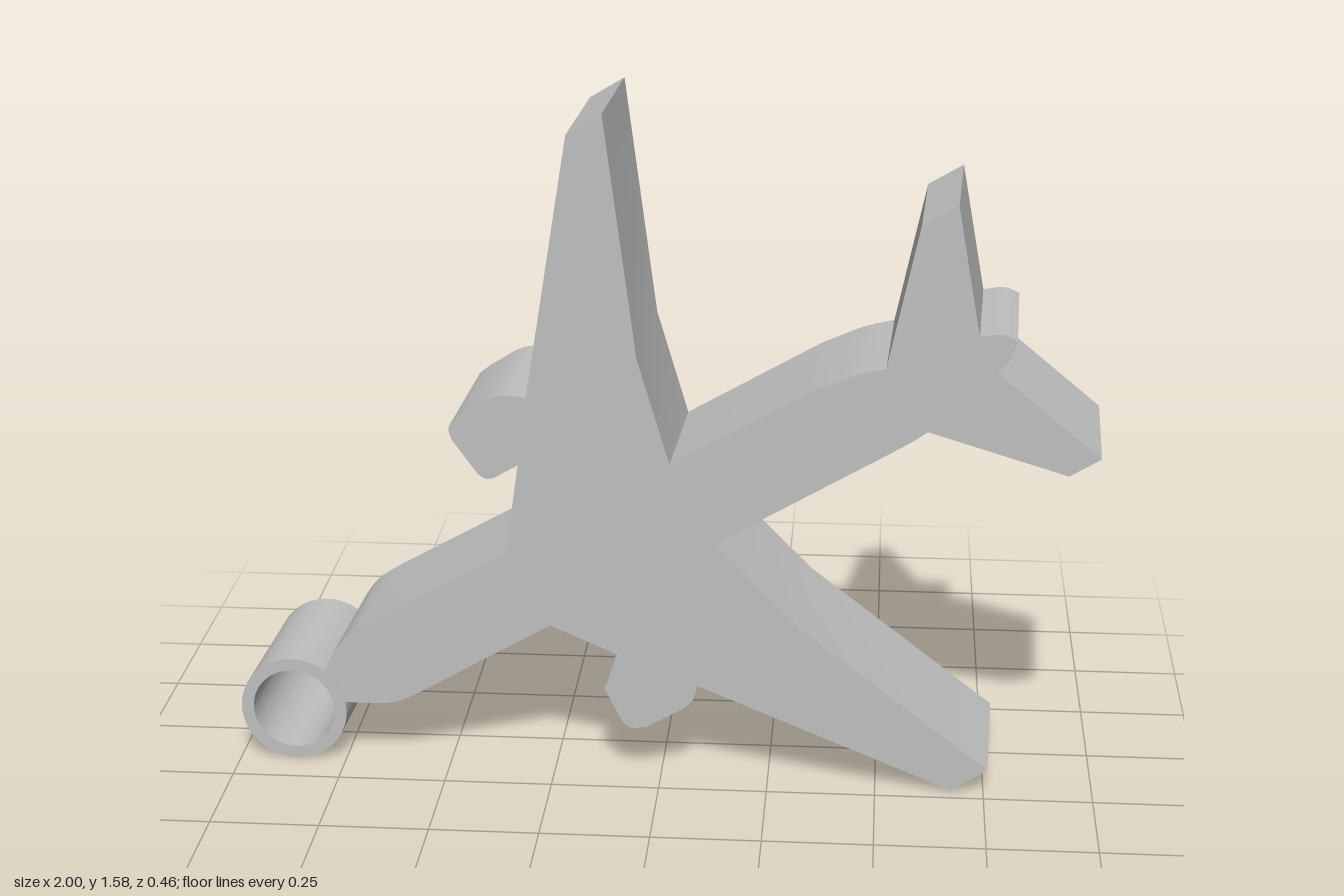
import * as THREE from 'three';
import { toCreasedNormals } from 'three/addons/utils/BufferGeometryUtils.js';

const DEPTH = 0.375;

// Outline runs: two numbers are a straight edge, longer runs are smooth curves.
const OUTLINE = [
  [-0.666, 0.15, -0.612, 0.158, -0.564, 0.182],                     // nose underside
  [-0.249, 0.369], [-0.04, 0.283], [-0.11, 0.235],                  // lower wing root
  [-0.121, 0.225, -0.12, 0.21], [-0.083, 0.139],                    // lower engine
  [-0.062, 0.121, -0.024, 0.125], [0.061, 0.176],
  [0.083, 0.198, 0.094, 0.235],
  [0.687, 0.002], [0.767, 0.059], [0.329, 0.39], [0.131, 0.588],    // lower wing
  [0.527, 0.824], [0.572, 0.852, 0.607, 0.877],                     // fuselage side
  [0.922, 0.786], [0.992, 0.829], [0.757, 1.021],                   // lower stabiliser
  [0.783, 1.053, 0.797, 1.096], [0.762, 1.109, 0.714, 1.102],       // tail cone
  [0.66, 1.396], [0.58, 1.348], [0.511, 1.021],                     // upper stabiliser
  [0.436, 1.0, 0.34, 0.957], [0.029, 0.775],                        // fuselage top
  [-0.045, 1.021], [-0.12, 1.578], [-0.2, 1.529], [-0.297, 0.92],   // upper wing
  [-0.345, 0.925, -0.382, 0.914], [-0.447, 0.872],                  // upper engine
  [-0.475, 0.845, -0.468, 0.813], [-0.41, 0.734],
  [-0.392, 0.723, -0.372, 0.727], [-0.318, 0.759],
  [-0.35, 0.54], [-0.676, 0.353],                                   // upper wing root
  [-0.73, 0.316, -0.767, 0.267, -0.783, 0.225],                     // nose top
  [-0.757, 0.199, -0.741, 0.15],                                    // seam against the ring
];

function extrude(shape, material, name, curveSegments) {
  const geo = new THREE.ExtrudeGeometry(shape, { depth: DEPTH, bevelEnabled: false, curveSegments });
  geo.translate(0, 0, -DEPTH / 2);
  const mesh = new THREE.Mesh(toCreasedNormals(geo, 0.45), material);
  mesh.name = name;
  return mesh;
}

export function createModel() {
  const model = new THREE.Group();
  model.name = 'airplaneKeychain';
  const grey = new THREE.MeshStandardMaterial({ color: 0xbfbfbf });
  grey.name = 'grey';

  // Airplane silhouette
  const plane = new THREE.Shape();
  plane.moveTo(-0.741, 0.15);
  for (const run of OUTLINE) {
    if (run.length === 2) plane.lineTo(run[0], run[1]);
    else {
      const pts = [];
      for (let i = 0; i < run.length; i += 2) pts.push(new THREE.Vector2(run[i], run[i + 1]));
      plane.splineThru(pts);
    }
  }
  model.add(extrude(plane, grey, 'airplaneBody', 4));

  // Key ring loop at the nose
  const ring = new THREE.Shape().absarc(-0.863, 0.126, 0.126, 0, Math.PI * 2, false);
  ring.holes.push(new THREE.Path().absarc(-0.863, 0.126, 0.097, 0, Math.PI * 2, true));
  model.add(extrude(ring, grey, 'keyRingLoop', 48));

  // The whole piece stands slightly turned
  model.rotation.y = -0.044;
  const root = new THREE.Group();
  root.add(model);
  return root;
}
